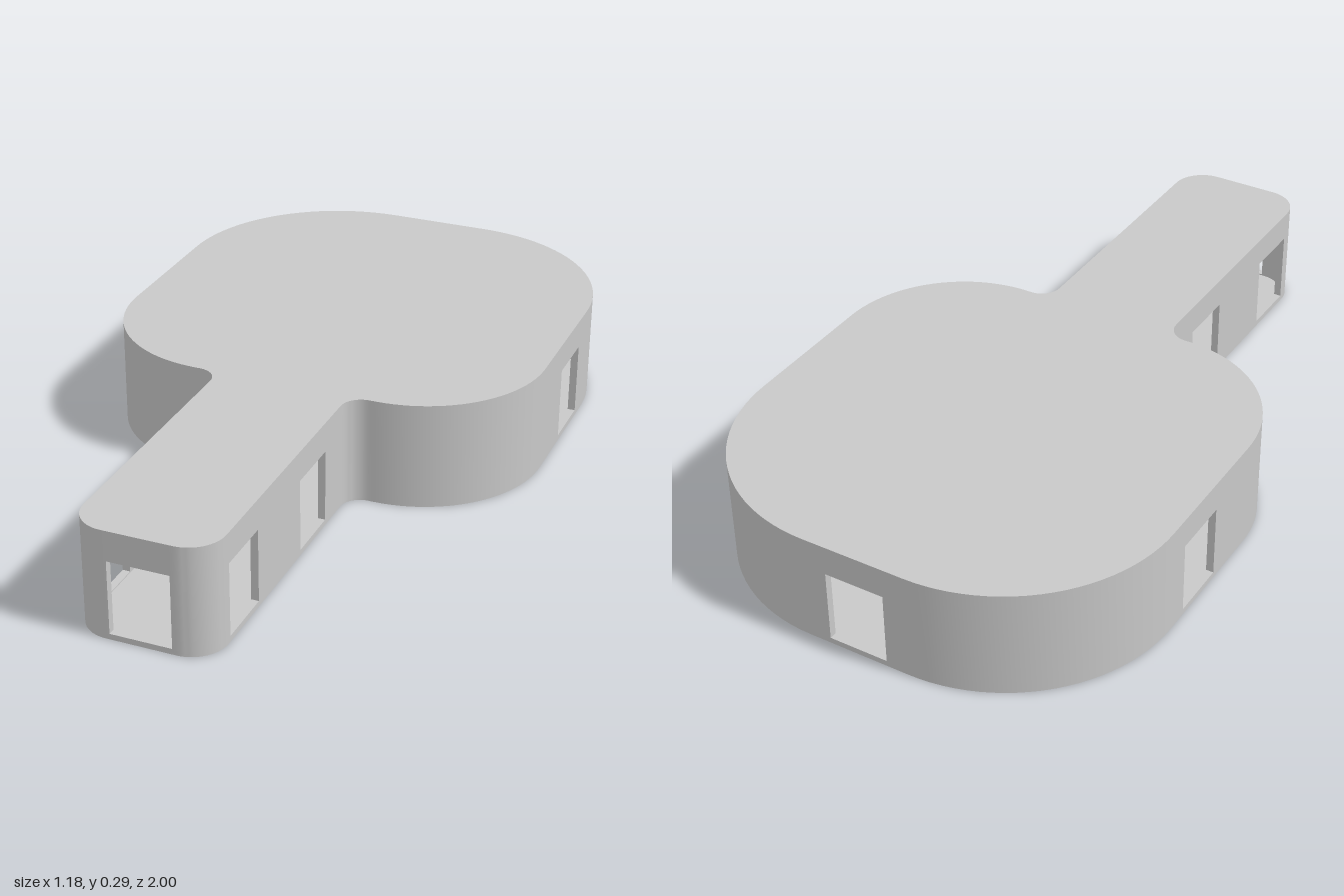
import * as THREE from 'three';
import { toCreasedNormals } from 'three/addons/utils/BufferGeometryUtils.js';

const WALL = 0.02, BASE = 0.005, TOP = 0.288, DOOR_TOP = 0.21, CZ = -0.41;

// Points on an arc in plan (x, z)
function arc(cx, cz, r, a0, a1, n = 24) {
  return Array.from({ length: n + 1 }, (_, i) => {
    const a = a0 + (a1 - a0) * i / n;
    return [cx + r * Math.cos(a), cz + r * Math.sin(a)];
  });
}

// Wall runs between the doors for the +x half, moved inwards by t
function runs(t) {
  const P = Math.PI;
  return [
    [[0.08, -1 + t], ...arc(0.14, -0.55, 0.45 - t, -P / 2, 0), [0.59 - t, -0.49]],
    [[0.59 - t, -0.33], ...arc(0.25, -0.165, 0.34 - t, 0, P / 2),
      ...arc(0.235, 0.23, 0.055 + t, -P / 2, -P, 10), [0.18 - t, 0.33]],
    [[0.18 - t, 0.49], [0.18 - t, 0.74]],
    [[0.18 - t, 0.9], ...arc(0.09, 0.91, 0.09 - t, 0, P / 2, 14), [0.08, 1 - t]],
  ];
}

const mirror = pts => pts.map(([x, z]) => [-x, z]);

// Whole closed plan outline, without collinear door points
function outline(t) {
  const r = runs(t);
  const half = [...r[0].slice(1, -1), ...r[1].slice(1, -1), ...r[3].slice(1, -1)];
  return [...half, ...mirror(half).reverse()];
}

// Prism from a plan outline between two heights
function prism(pts, y0, y1, hole) {
  const v = p => p.map(([x, z]) => new THREE.Vector2(x, -z));
  const shape = new THREE.Shape(v(pts));
  if (hole) shape.holes.push(new THREE.Path(v(hole)));
  const g = new THREE.ExtrudeGeometry(shape, { depth: y1 - y0, bevelEnabled: false });
  g.rotateX(-Math.PI / 2);
  g.translate(0, y0, 0);
  return toCreasedNormals(g, 0.5);
}

export function createModel() {
  const model = new THREE.Group();
  model.name = 'pavilion';
  const grey = new THREE.MeshStandardMaterial({ color: 0xc8c8c8 });
  grey.name = 'grey';
  const add = (name, geometry, x = 0, y = 0, z = 0) => {
    const m = new THREE.Mesh(geometry, grey);
    m.name = name;
    m.position.set(x, y, z);
    model.add(m);
    return m;
  };
  const box = (name, w, h, d, x, y, z) => add(name, new THREE.BoxGeometry(w, h, d), x, y, z);

  // Base, inner floor and roof
  add('base', prism(outline(0), 0, BASE));
  add('floor', prism(outline(WALL), BASE, 0.012));
  add('roof', prism(outline(0), TOP, 0.29));

  // Outer walls between the doors
  const outer = runs(0), inner = runs(WALL);
  outer.forEach((run, i) => {
    const plan = [...run, ...inner[i].slice().reverse()];
    add('wallLeft', prism(plan, BASE, TOP));
    add('wallRight', prism(mirror(plan), BASE, TOP));
  });

  // Lintel and threshold of each outer door
  const doors = [[0, -1 + WALL / 2, true], [0, 1 - WALL / 2, true]];
  for (const s of [-1, 1]) {
    for (const [x, z] of [[0.59, CZ], [0.18, 0.41], [0.18, 0.82]]) {
      doors.push([s * (x - WALL / 2), z, false]);
    }
  }
  for (const [x, z, across] of doors) {
    const w = across ? 0.16 : WALL, d = across ? WALL : 0.16;
    box('lintel', w, TOP - DOOR_TOP, d, x, (TOP + DOOR_TOP) / 2, z);
    box('threshold', w, 0.01, d, x, BASE + 0.005, z);
  }

  // Round inner room with four doorways
  const R = 0.3, r = 0.285, gap = Math.asin(0.0625 / R);
  for (let i = 0; i < 4; i++) {
    const a0 = i * Math.PI / 2 + gap, a1 = (i + 1) * Math.PI / 2 - gap;
    add('innerWall', prism([...arc(0, CZ, R, a0, a1), ...arc(0, CZ, r, a1, a0)], 0.012, 0.172));
  }
  const circle = rad => arc(0, CZ, rad, 0, Math.PI * 2, 64).slice(0, -1);
  add('innerWallTop', prism(circle(R), 0.172, TOP, circle(r)));
  add('ceilingRing', prism(circle(0.2), 0.23, TOP, circle(0.18)));

  // Central column
  const profile = [[0.075, 0.012], [0.075, 0.03], [0.055, 0.035], [0.055, 0.12], [0.06, 0.125],
    [0.06, 0.135], [0.05, 0.14], [0.062, 0.155], [0.062, 0.165], [0.05, 0.17], [0.05, TOP]];
  const column = new THREE.LatheGeometry(profile.map(p => new THREE.Vector2(...p)), 40);
  add('column', toCreasedNormals(column, 0.5), 0, 0, CZ);

  // Low stools around the column
  for (let i = 0; i < 8; i++) {
    const a = (i + 0.5) * Math.PI / 4, x = 0.15 * Math.cos(a), z = CZ + 0.15 * Math.sin(a);
    add('stoolFoot', new THREE.CylinderGeometry(0.014, 0.018, 0.006, 16), x, 0.015, z);
    add('stoolPost', new THREE.CylinderGeometry(0.004, 0.004, 0.03, 10), x, 0.03, z);
    add('stoolSeat', new THREE.CylinderGeometry(0.018, 0.018, 0.01, 20), x, 0.05, z);
  }
  return model;
}
